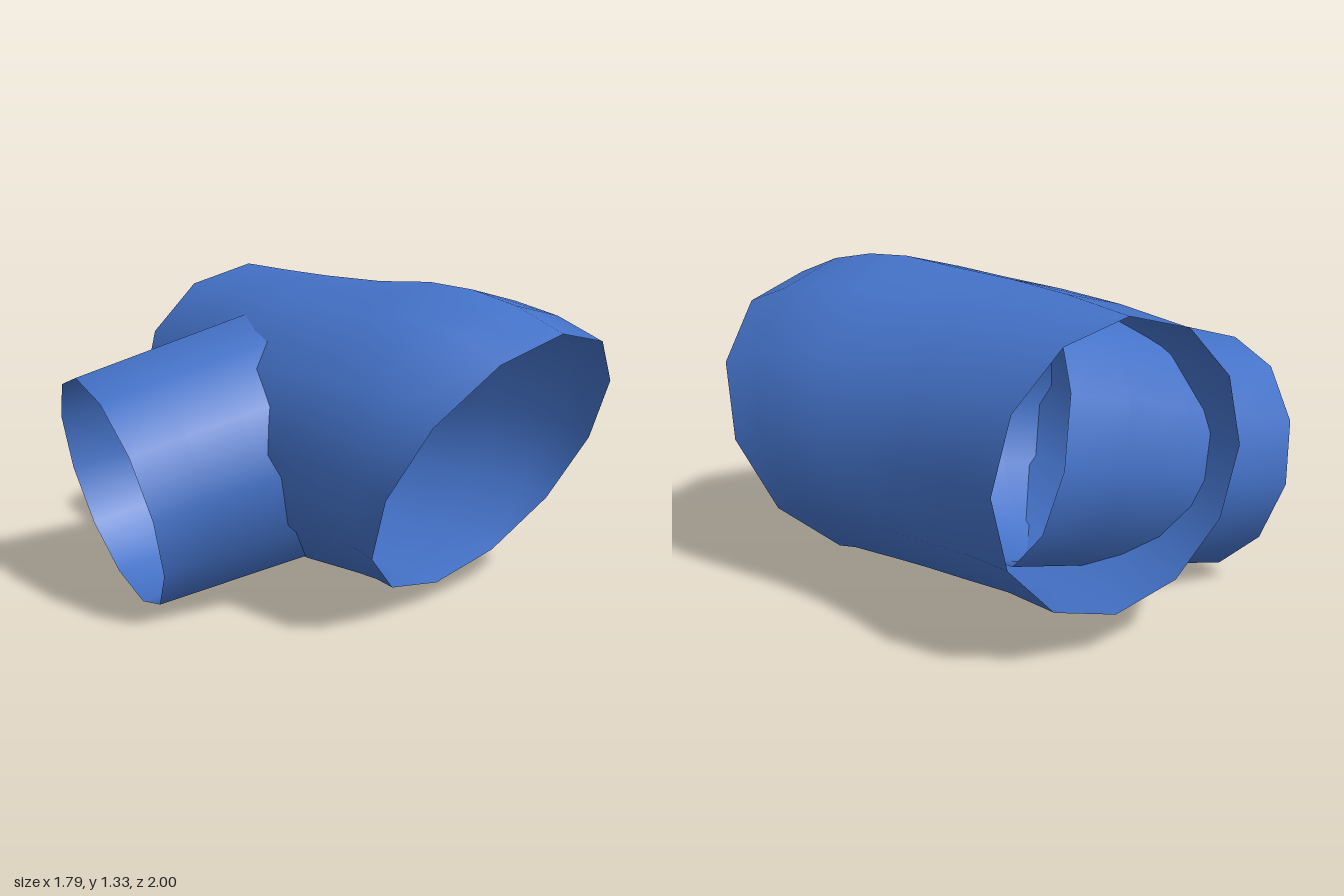
import * as THREE from 'three';

const SIDES = 12;

// Open tube lofted through rings, each given by a centre, a "top" radius vector and a "side" radius vector
function loftTube(rings) {
  const pos = [], index = [];
  for (const { centre, top, side } of rings) {
    for (let j = 0; j < SIDES; j++) {
      const a = (j / SIDES) * Math.PI * 2;
      pos.push(...centre.map((c, k) => c + Math.cos(a) * top[k] + Math.sin(a) * side[k]));
    }
  }
  for (let i = 0; i < rings.length - 1; i++) {
    for (let j = 0; j < SIDES; j++) {
      const k = (j + 1) % SIDES;
      const a = i * SIDES + j, b = i * SIDES + k;
      index.push(a, b, a + SIDES, b, b + SIDES, a + SIDES);
    }
  }
  const geo = new THREE.BufferGeometry();
  geo.setAttribute('position', new THREE.Float32BufferAttribute(pos, 3));
  geo.setIndex(index);
  geo.computeVertexNormals();
  return geo;
}

export function createModel() {
  const group = new THREE.Group();
  group.name = 'pipeJunction';
  const blue = new THREE.MeshStandardMaterial({ color: 0x4472c8, side: THREE.DoubleSide });
  blue.name = 'blue';

  const add = (name, rings) => {
    const mesh = new THREE.Mesh(loftTube(rings), blue);
    mesh.name = name;
    group.add(mesh);
  };

  // Main pipe, front to back: centre x, y, z, top vector y, z, side vector x, z
  const main = [
    [0.17, 0.645, 0.715, 0.555, 0.285, 0.62, 0.04],
    [0.17, 0.69, 0.575, 0.59, 0.22, 0.62, 0.03],
    [0.17, 0.71, 0.43, 0.61, 0.165, 0.62, 0.02],
    [0.165, 0.715, 0.28, 0.615, 0.12, 0.618, 0.01],
    [0.16, 0.705, 0.08, 0.605, 0.075, 0.612, 0.02],
    [0.19, 0.707, -0.18, 0.593, 0.025, 0.598, 0.04],
    [0.26, 0.72, -0.47, 0.57, 0.015, 0.57, 0.10],
    [0.38, 0.727, -0.80, 0.547, 0, 0.51, 0.19],
  ];
  add('mainPipe', main.map(([x, y, z, ty, tz, sx, sz]) => ({
    centre: [x, y, z], top: [-0.02, ty, tz], side: [sx, 0, sz],
  })));

  // Branch pipe, from its open end inside the main pipe to its outer end
  const inner = { centre: [0.18, 0.705, -0.15], top: [-0.09, 0.53, -0.056], side: [0.285, 0, -0.46] };
  const outer = { centre: [-0.70, 0.48, -0.545], top: [-0.10, 0.48, -0.058], side: [0.17, -0.02, -0.455] };
  const mix = (key, t) => inner[key].map((v, k) => v + (outer[key][k] - v) * t);
  add('branchPipe', [0, 0.25, 0.5, 0.75, 1].map((t) => ({
    centre: mix('centre', t), top: mix('top', t), side: mix('side', t),
  })));

  return group;
}
